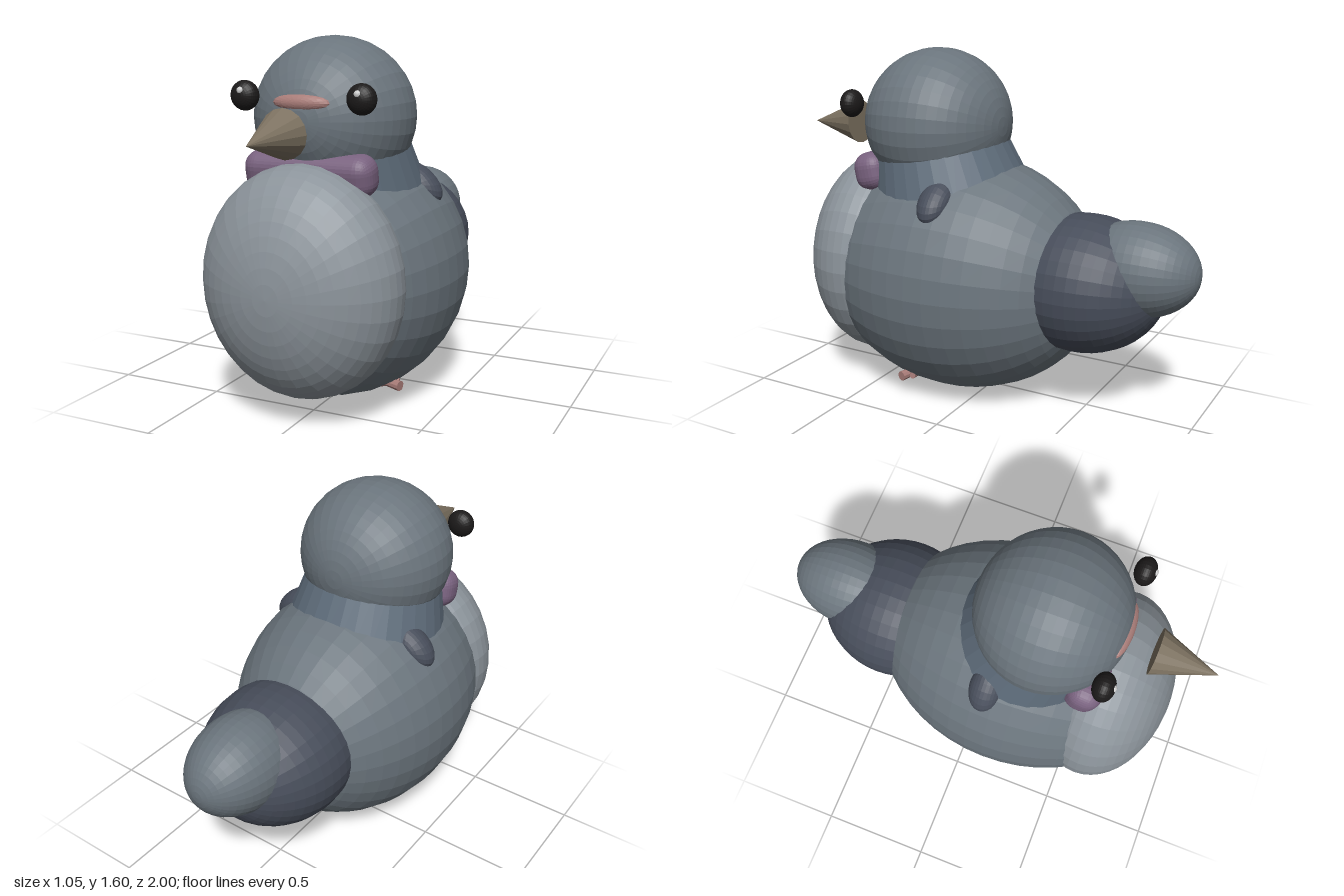
import * as THREE from 'three';
import { RoundedBoxGeometry } from 'three/addons/geometries/RoundedBoxGeometry.js';

const material = (color) =>
  new THREE.MeshStandardMaterial({ color, flatShading: true });

const plumage = material(0x6b757d);
const chestGrey = material(0x8b939a);
const darkFeather = material(0x474d5a);
const neckBlue = material(0x5d6b79);
const purple = material(0x79627f);
const horn = material(0x7d7261);
const pink = material(0xa87c78);
const black = material(0x1c1a1a);
const white = material(0xffffff);

export function createModel() {
  const model = new THREE.Group();
  model.name = 'bird';

  function add(name, geometry, mat, position, rotation = [0, 0, 0]) {
    const mesh = new THREE.Mesh(geometry, mat);
    mesh.name = name;
    mesh.position.set(...position);
    mesh.rotation.set(...rotation);
    model.add(mesh);
    return mesh;
  }

  // Ellipsoid with its poles along z
  function ellipsoid(name, mat, position, radii, rotation, segments = 32) {
    const geometry = new THREE.SphereGeometry(1, segments, segments * 0.75);
    geometry.rotateX(Math.PI / 2).scale(...radii);
    return add(name, geometry, mat, position, rotation);
  }

  // Tapered stub between two points
  function stub(name, mat, from, to, r0, r1) {
    const a = new THREE.Vector3(...from);
    const b = new THREE.Vector3(...to);
    const direction = b.clone().sub(a);
    const geometry = new THREE.CylinderGeometry(r1, r0, direction.length(), 10);
    const mesh = add(name, geometry, mat, a.clone().add(b).multiplyScalar(0.5).toArray());
    mesh.quaternion.setFromUnitVectors(new THREE.Vector3(0, 1, 0), direction.normalize());
  }

  // Body, chest and head
  ellipsoid('body', plumage, [0, 0.562, 0.15], [0.525, 0.56, 0.685]);
  ellipsoid('chest', chestGrey, [0, 0.595, 0.585], [0.447, 0.495, 0.308]);
  ellipsoid('head', plumage, [0, 1.26, 0.276], [0.352, 0.338, 0.338]);

  // Forward-leaning neck and the band at the throat
  add('neck', new THREE.CylinderGeometry(0.3, 0.385, 0.34, 32), neckBlue,
    [0, 1.03, 0.24], [0.27, 0, 0]);
  add('throatBand', new RoundedBoxGeometry(0.59, 0.18, 0.16, 4, 0.07), purple,
    [0, 1.04, 0.505], [0.2, 0, 0]);

  // Tail
  ellipsoid('tailBase', darkFeather, [0, 0.595, -0.475], [0.335, 0.31, 0.375]);
  ellipsoid('tailTip', plumage, [0, 0.695, -0.72], [0.205, 0.21, 0.28]);

  // Beak and the fleshy ridge above it
  add('beak', new THREE.ConeGeometry(0.103, 0.275, 16), horn,
    [0, 1.2135, 0.863], [Math.PI / 2 + 0.06, 0, 0]);
  ellipsoid('beakRidge', pink, [0, 1.333, 0.575], [0.13, 0.04, 0.042], undefined, 20);

  // Mirrored eyes, wing buds and feet
  for (const [side, s] of [['left', 1], ['right', -1]]) {
    ellipsoid(side + 'Eye', black, [s * 0.265, 1.355, 0.575], [0.063, 0.063, 0.048], undefined, 24);
    ellipsoid(side + 'EyeGlint', white, [s * 0.264, 1.377, 0.612], [0.016, 0.016, 0.014], undefined, 12);
    ellipsoid(side + 'WingBud', darkFeather, [s * 0.325, 0.965, 0.1], [0.12, 0.065, 0.075],
      [0, 0, s * -0.7], 20);
    stub(side + 'FrontToe', pink, [s * 0.2, 0.1, 0.27], [s * 0.322, 0.095, 0.305], 0.018, 0.023);
    stub(side + 'BackToe', pink, [s * 0.22, 0.09, 0.28], [s * 0.3, 0.098, 0.258], 0.022, 0.014);
  }

  return model;
}
